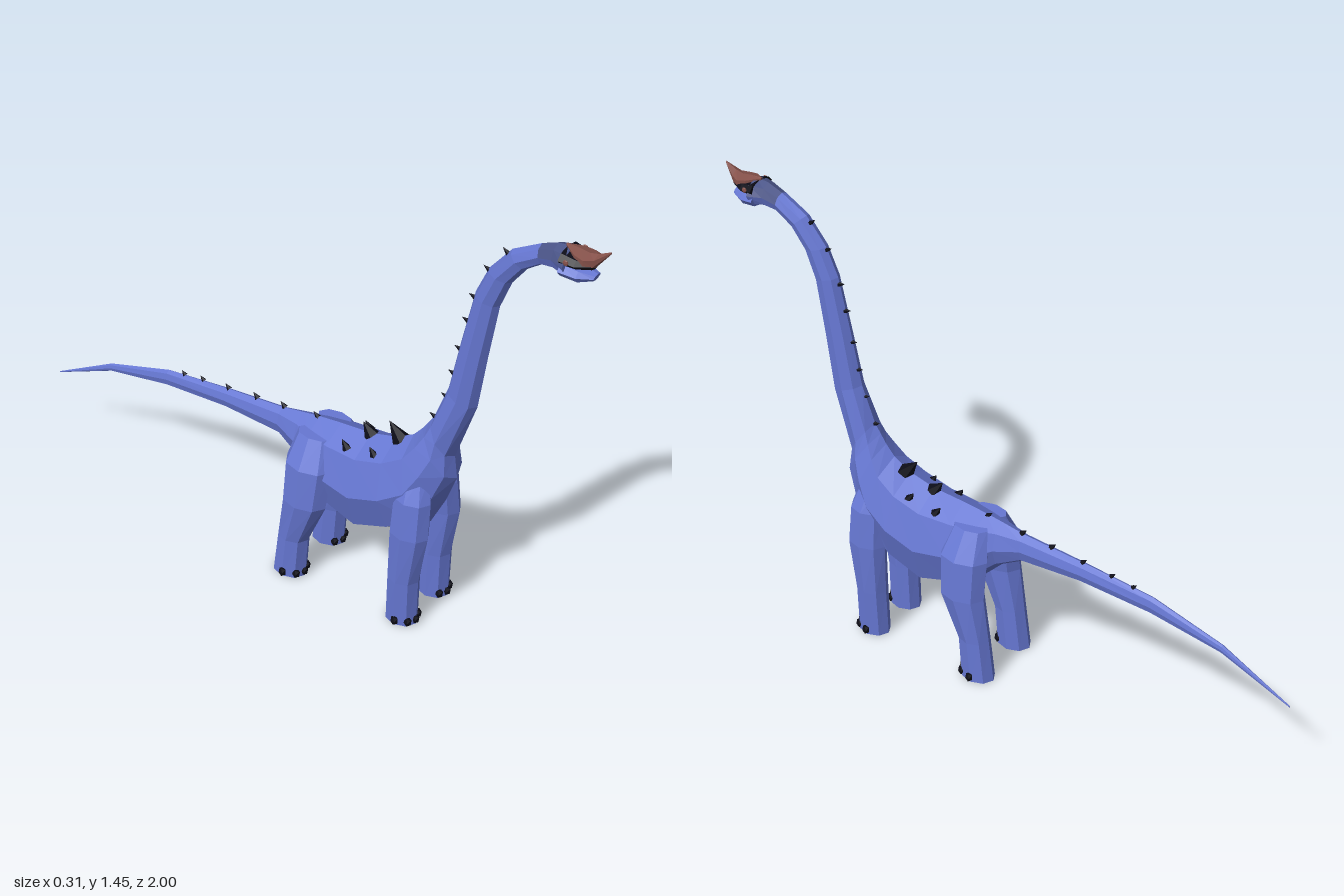
import * as THREE from 'three';

const mat = (name, color) => {
  const m = new THREE.MeshStandardMaterial({ color, flatShading: true });
  m.name = name;
  return m;
};

// Loft through rings; each section is [topZ, topY, bottomZ, bottomY, halfWidth, centreX]
function loft(sections, sides = 8, pick = () => 0) {
  const point = ([tz, ty, bz, by, w, x = 0], i) => {
    const a = (i / sides) * Math.PI * 2, c = Math.cos(a) / 2;
    return [x + Math.sin(a) * w, (ty + by) / 2 + c * (ty - by), (tz + bz) / 2 + c * (tz - bz)];
  };
  const centre = ([tz, ty, bz, by, , x = 0]) => [x, (ty + by) / 2, (tz + bz) / 2];
  const pos = [], geo = new THREE.BufferGeometry();
  const last = sections.length - 1;
  for (let k = 0; k < last; k++) {
    for (let i = 0; i < sides; i++) {
      const a = point(sections[k], i), b = point(sections[k], i + 1);
      const c = point(sections[k + 1], i), d = point(sections[k + 1], i + 1);
      geo.addGroup(pos.length / 3, 6, pick(k, i));
      pos.push(...a, ...c, ...b, ...b, ...c, ...d);
    }
  }
  geo.addGroup(pos.length / 3, sides * 6, 0);
  for (let i = 0; i < sides; i++) {
    pos.push(...centre(sections[0]), ...point(sections[0], i), ...point(sections[0], i + 1));
    pos.push(...centre(sections[last]), ...point(sections[last], i + 1), ...point(sections[last], i));
  }
  geo.setAttribute('position', new THREE.Float32BufferAttribute(pos, 3));
  geo.computeVertexNormals();
  return geo;
}

export function createModel() {
  const model = new THREE.Group();
  model.name = 'longNeckedDinosaur';
  const skin = mat('blueSkin', 0x6677d2);
  const slate = mat('slateCrown', 0x4a5488);
  const black = mat('blackHorn', 0x0b0b16);
  const brown = mat('brownBeak', 0x85514a);

  const add = (name, geo, material, parent = model) => {
    const m = new THREE.Mesh(geo, material);
    m.name = name;
    parent.add(m);
    return m;
  };

  // Tail, torso and neck in one skin, with a darker crown
  const spine = [
    [-1, 0.267, -1, 0.263, 0.002],
    [-0.77, 0.39, -0.77, 0.362, 0.009],
    [-0.53, 0.463, -0.53, 0.405, 0.016],
    [-0.29, 0.49, -0.29, 0.424, 0.023],
    [-0.08, 0.51, -0.08, 0.415, 0.031],
    [0, 0.525, 0, 0.37, 0.055],
    [0.06, 0.535, 0.06, 0.31, 0.085],
    [0.14, 0.545, 0.13, 0.255, 0.108],
    [0.25, 0.555, 0.25, 0.22, 0.122],
    [0.34, 0.58, 0.37, 0.265, 0.12],
    [0.4, 0.615, 0.47, 0.33, 0.106],
    [0.43, 0.65, 0.52, 0.43, 0.086],
    [0.45, 0.68, 0.555, 0.525, 0.066],
    [0.47, 0.71, 0.545, 0.6, 0.054],
    [0.515, 0.83, 0.613, 0.8, 0.04],
    [0.55, 1.0, 0.64, 0.98, 0.035],
    [0.59, 1.18, 0.67, 1.16, 0.031],
    [0.63, 1.27, 0.705, 1.25, 0.03],
    [0.7, 1.355, 0.75, 1.31, 0.03],
    [0.79, 1.405, 0.8, 1.345, 0.03],
    [0.84, 1.425, 0.84, 1.35, 0.036],
    [0.885, 1.43, 0.885, 1.345, 0.053],
  ];
  const crown = (k, i) => (k >= spine.length - 3 && (i < 2 || i > 5) ? 1 : 0);
  add('bodyNeckAndTail', loft(spine, 8, crown), [skin, slate]);

  // Head: lower jaw, dark cheeks and upturned beak
  const head = new THREE.Group();
  head.name = 'head';
  model.add(head);
  add('lowerJaw', loft([
    [0.87, 1.395, 0.87, 1.345, 0.052],
    [0.92, 1.385, 0.92, 1.338, 0.04],
    [0.965, 1.374, 0.958, 1.352, 0.018],
  ]), skin, head);
  add('cheeks', loft([
    [0.87, 1.428, 0.87, 1.38, 0.053],
    [0.915, 1.418, 0.915, 1.38, 0.047],
    [0.955, 1.418, 0.955, 1.385, 0.024],
  ]), black, head);
  add('beak', loft([
    [0.865, 1.434, 0.865, 1.425, 0.004],
    [0.905, 1.432, 0.905, 1.4, 0.034],
    [0.935, 1.428, 0.935, 1.393, 0.039],
    [0.962, 1.434, 0.955, 1.388, 0.025],
    [1, 1.453, 1, 1.447, 0.002],
  ], 6), brown, head);

  // Legs: rows of [y, x, z, radiusX, radiusZ] from hip to sole
  const frontLeg = [
    [0.53, 0.05, 0.44, 0.03, 0.05],
    [0.45, 0.07, 0.45, 0.048, 0.063],
    [0.33, 0.084, 0.45, 0.048, 0.066],
    [0.16, 0.085, 0.436, 0.046, 0.052],
    [0, 0.084, 0.432, 0.044, 0.053],
  ];
  const hindLeg = [
    [0.51, 0.05, 0.08, 0.035, 0.06],
    [0.42, 0.083, 0.083, 0.056, 0.083],
    [0.29, 0.1, 0.078, 0.053, 0.077],
    [0.14, 0.099, 0.036, 0.044, 0.053],
    [0, 0.1, 0.022, 0.045, 0.057],
  ];
  const claw = new THREE.IcosahedronGeometry(0.013, 0).scale(1, 1.3, 1);
  for (const [side, s] of [['left', 1], ['right', -1]]) {
    for (const [name, rows] of [['FrontLeg', frontLeg], ['HindLeg', hindLeg]]) {
      const leg = new THREE.Group();
      leg.name = side + name;
      model.add(leg);
      add('limb', loft(rows.map(([y, x, z, rx, rz]) => [z + rz, y, z - rz, y, rx, s * x])), skin, leg);
      const [, x, z, rx, rz] = rows[4];
      for (const a of [-0.65, 0, 0.65, 1.5]) {
        add('claw', claw, black, leg).position.set(s * (x + Math.sin(a) * rx), 0.0175, z + Math.cos(a) * rz * 0.95);
      }
    }
    // Eye set in the cheek
    const eye = add(side + 'Eye', new THREE.SphereGeometry(0.009, 6, 4), brown, head);
    eye.position.set(s * 0.05, 1.405, 0.893);
    eye.scale.x = 0.4;
  }

  // Spikes: [x, y, z, radius, length, backward tilt]
  const spikes = [
    [0, 1.335, 0.68, 0.01, 0.03, 0.9], [0, 1.26, 0.623, 0.01, 0.03, 1.1],
    [0, 1.155, 0.582, 0.011, 0.032, 1.3], [0, 1.07, 0.563, 0.011, 0.032, 1.3],
    [0, 0.968, 0.542, 0.011, 0.032, 1.3], [0, 0.878, 0.524, 0.011, 0.032, 1.3],
    [0, 0.79, 0.503, 0.011, 0.032, 1.3], [0, 0.705, 0.466, 0.011, 0.032, 1.2],
    [0, 0.595, 0.335, 0.03, 0.07, 0.7], [0, 0.56, 0.235, 0.025, 0.05, 0.7],
    [0, 0.53, 0.045, 0.01, 0.025, 0.8], [0, 0.515, -0.08, 0.01, 0.024, 0.8],
    [0, 0.505, -0.185, 0.01, 0.024, 0.8], [0, 0.493, -0.295, 0.009, 0.022, 0.8],
    [0, 0.482, -0.395, 0.008, 0.02, 0.8], [0, 0.472, -0.47, 0.008, 0.02, 0.8],
  ];
  for (const s of [1, -1]) {
    spikes.push([s * 0.06, 0.535, 0.295, 0.016, 0.035, 0.6], [s * 0.06, 0.52, 0.195, 0.016, 0.035, 0.6]);
  }
  for (const [x, y, z, r, len, tilt] of spikes) {
    const spike = add('backSpike', new THREE.ConeGeometry(r, len, 6), black);
    spike.position.set(x, y + 0.005, z);
    spike.rotation.x = -tilt;
  }
  return model;
}
